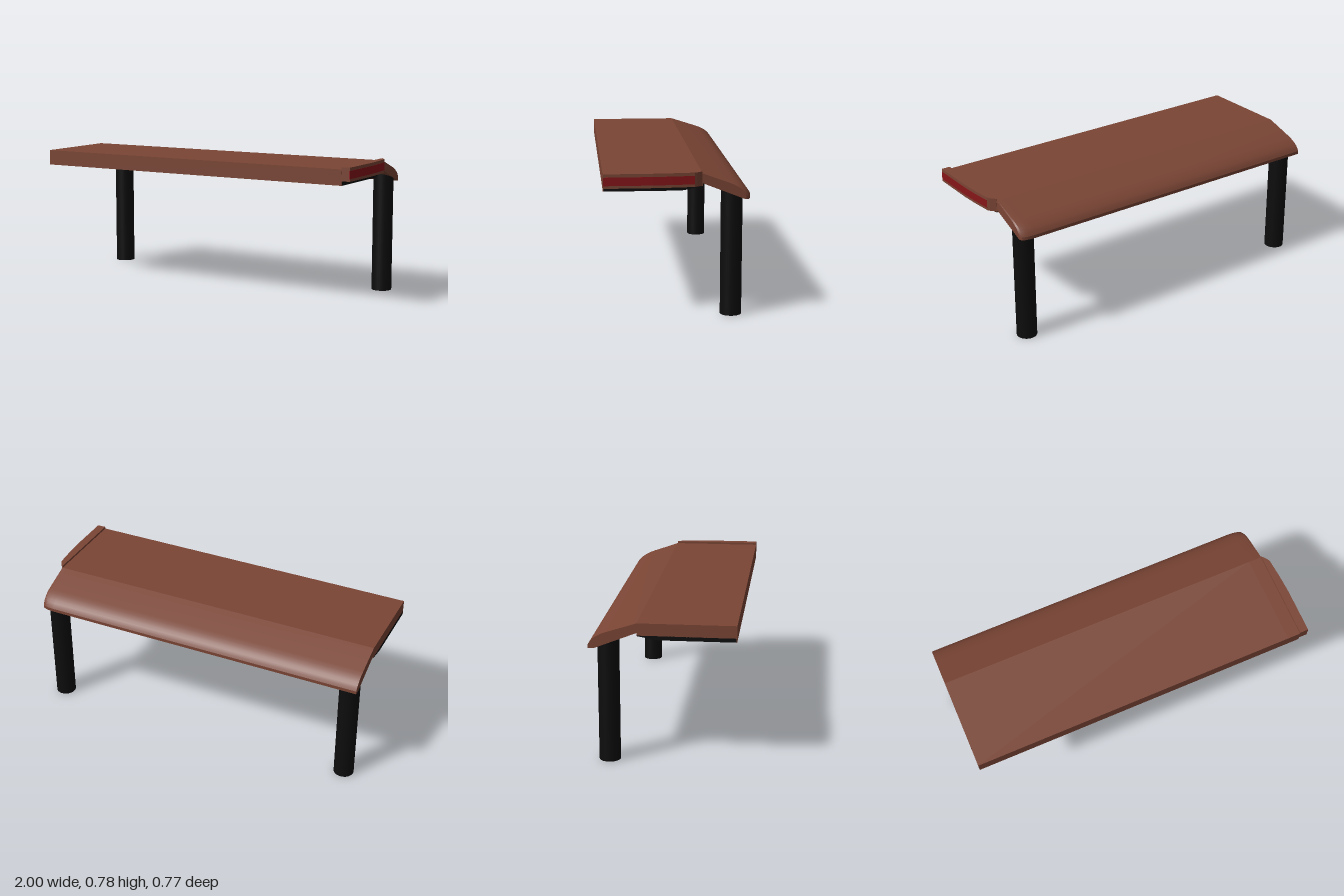
import * as THREE from 'three';
import { toCreasedNormals } from 'three/addons/utils/BufferGeometryUtils.js';

const brown = new THREE.MeshStandardMaterial({ color: 0x7a4535 });
const black = new THREE.MeshStandardMaterial({ color: 0x0d0d0d });
const red = new THREE.MeshStandardMaterial({ color: 0x861519 });

const LEFT = 0.952; // +x end of the top
const BEND = 0.13; // distance behind centre where the rear flap starts

function add(group, name, geometry, material, x = 0, y = 0, z = 0) {
  const mesh = new THREE.Mesh(geometry, material);
  mesh.name = name;
  mesh.position.set(x, y, z);
  group.add(mesh);
  return mesh;
}

// Extrudes a side profile (distance to the back, height) along x from -1
function extrudeAlongX(shape, steps = 1) {
  const g = new THREE.ExtrudeGeometry(shape, { depth: LEFT + 1, steps, bevelEnabled: false });
  return g.rotateY(Math.PI / 2).translate(-1, 0, 0);
}

// Flat top with a drooping rear flap, whose +x rear corner is rounded in plan
function topGeometry() {
  const shape = new THREE.Shape();
  shape.moveTo(-0.385, 0.702);
  shape.lineTo(BEND, 0.702);
  shape.lineTo(BEND, 0.717);
  shape.lineTo(0.352, 0.63);
  shape.lineTo(0.385, 0.63);
  shape.lineTo(0.385, 0.648);
  const curve = new THREE.QuadraticBezierCurve(
    new THREE.Vector2(0.385, 0.648), new THREE.Vector2(0.367, 0.692), new THREE.Vector2(0.29, 0.717));
  curve.getPoints(6).slice(1).forEach((p) => shape.lineTo(p.x, p.y));
  shape.lineTo(BEND, 0.768);
  shape.lineTo(-0.385, 0.768);

  const stations = [-1, 0.875, 0.905, 0.928, 0.944, LEFT];
  const reach = [1, 1, 0.99, 0.972, 0.94, 0.885];
  const steps = stations.length - 1;
  const g = extrudeAlongX(shape, steps);
  const pos = g.attributes.position;
  for (let i = 0; i < pos.count; i++) {
    const k = Math.round(((pos.getX(i) + 1) / (LEFT + 1)) * steps);
    const back = -pos.getZ(i);
    const underside = Math.abs(back - 0.352) < 1e-4 && pos.getY(i) < 0.64;
    pos.setX(i, stations[k]);
    if (back > BEND && !underside) pos.setZ(i, -(BEND + (back - BEND) * reach[k]));
  }
  return toCreasedNormals(g, 0.28);
}

// Upright prism from plan points (x, z)
function planPrism(points, bottom, top) {
  const shape = new THREE.Shape(points.map(([x, z]) => new THREE.Vector2(x, -z)));
  const g = new THREE.ExtrudeGeometry(shape, { depth: top - bottom, bevelEnabled: false });
  return g.rotateX(-Math.PI / 2).translate(0, bottom, 0);
}

export function createModel() {
  const model = new THREE.Group();
  model.name = 'table';

  add(model, 'top', topGeometry(), brown);

  // Dark panel under the flat part, tapering up towards the back
  const panel = new THREE.Shape([
    [-0.382, 0.681], [0.02, 0.681], [BEND, 0.7], [BEND, 0.703], [-0.382, 0.703],
  ].map(([b, y]) => new THREE.Vector2(b, y)));
  add(model, 'underPanel', extrudeAlongX(panel), black);

  // Thin board closing the front edge
  add(model, 'frontBoard', new THREE.BoxGeometry(LEFT + 1, 0.087, 0.004), brown, (LEFT - 1) / 2, 0.7245, 0.3835);

  // End trim, curved in plan, with a red inlay on its outer face
  const outer = [[0.999, 0.385], [0.999, 0.13], [0.994, 0.03], [0.984, -0.085]];
  add(model, 'endTrim', planPrism([[0.95, 0.385], ...outer, [0.976, -0.1], [0.953, -0.128], [0.95, -0.128]], 0.705, 0.78), brown);
  const inlay = [...outer.map(([x, z]) => [x + 0.001, z]), ...outer.slice().reverse().map(([x, z]) => [x - 0.004, z])];
  add(model, 'redInlay', planPrism(inlay, 0.719, 0.763), red);

  // Two round legs under the rear flap
  for (const [name, x] of [['rightLeg', -0.932], ['leftLeg', 0.89]]) {
    add(model, name, new THREE.CylinderGeometry(0.057, 0.057, 0.68, 32), black, x, 0.34, -0.288);
  }
  return model;
}
